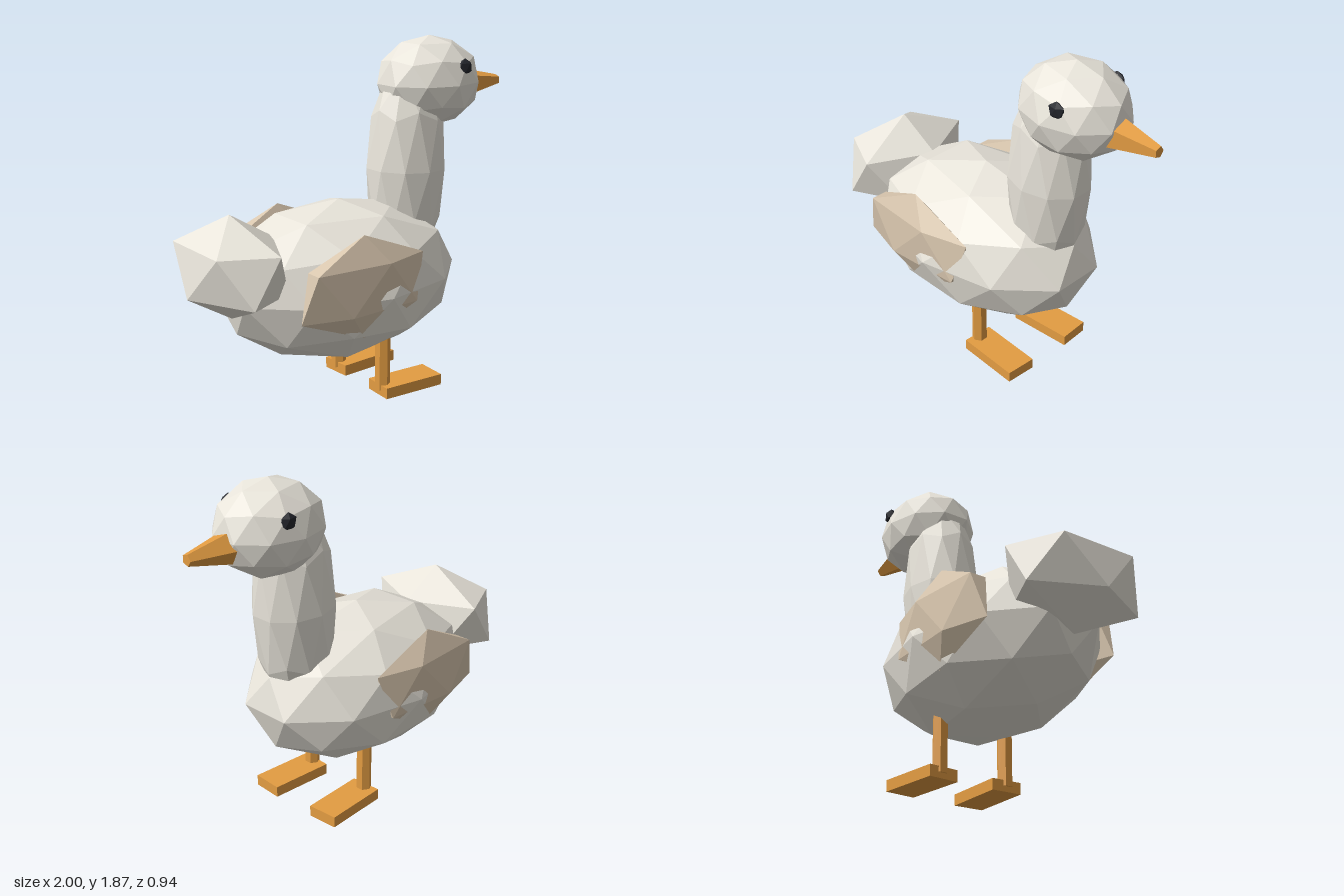
import * as THREE from 'three';

const mat = (color) => new THREE.MeshStandardMaterial({ color, flatShading: true });

export function createModel() {
  const group = new THREE.Group();
  const white = mat(0xe8e4da);
  const tan = mat(0xd8c6ae);
  const orange = mat(0xe39c42);
  const black = mat(0x22242a);

  const add = (name, geometry, material, x, y, z) => {
    const mesh = new THREE.Mesh(geometry, material);
    mesh.name = name;
    mesh.position.set(x, y, z);
    group.add(mesh);
    return mesh;
  };

  // Faceted ellipsoid with a corner at its top and bottom
  const blob = (detail, rx, ry, rz) => {
    const g = new THREE.IcosahedronGeometry(1, detail);
    g.rotateZ(-Math.atan2(2, 1 + Math.sqrt(5)));
    g.scale(rx, ry, rz);
    return g;
  };

  // Body, neck, head and tail
  add('body', blob(1, 0.704, 0.42, 0.47), white, -0.1, 0.64, 0);
  add('neck', blob(1, 0.231, 0.6, 0.2), white, 0.35, 1.17, 0).rotation.z = -0.04;
  add('head', blob(1, 0.303, 0.245, 0.25), white, 0.5, 1.62, 0);
  add('tail', blob(0, 0.274, 0.268, 0.405), white, -0.755, 0.81, 0);

  // Five-sided blunt beak
  const beak = new THREE.CylinderGeometry(0.03, 0.097, 0.3, 5, 1, false, Math.PI);
  beak.rotateZ(-Math.PI / 2);
  add('beak', beak, orange, 0.85, 1.585, 0);

  // Paired parts on both flanks
  for (const [side, s] of [['near', 1], ['far', -1]]) {
    add(side + 'Eye', blob(0, 0.048, 0.046, 0.03), black, 0.57, 1.71, s * 0.21);
    add(side + 'Wing', blob(0, 0.42, 0.268, 0.085), tan, -0.225, 0.705, s * 0.39);
    add(side + 'Leg', new THREE.CylinderGeometry(0.041, 0.041, 0.36, 6), orange, 0.043, 0.21, s * 0.2);
    // Feet turn slightly outward
    add(side + 'Foot', new THREE.BoxGeometry(0.36, 0.06, 0.17), orange, 0.197, 0.03, s * 0.203).rotation.y = -s * 0.06;
  }
  return group;
}
